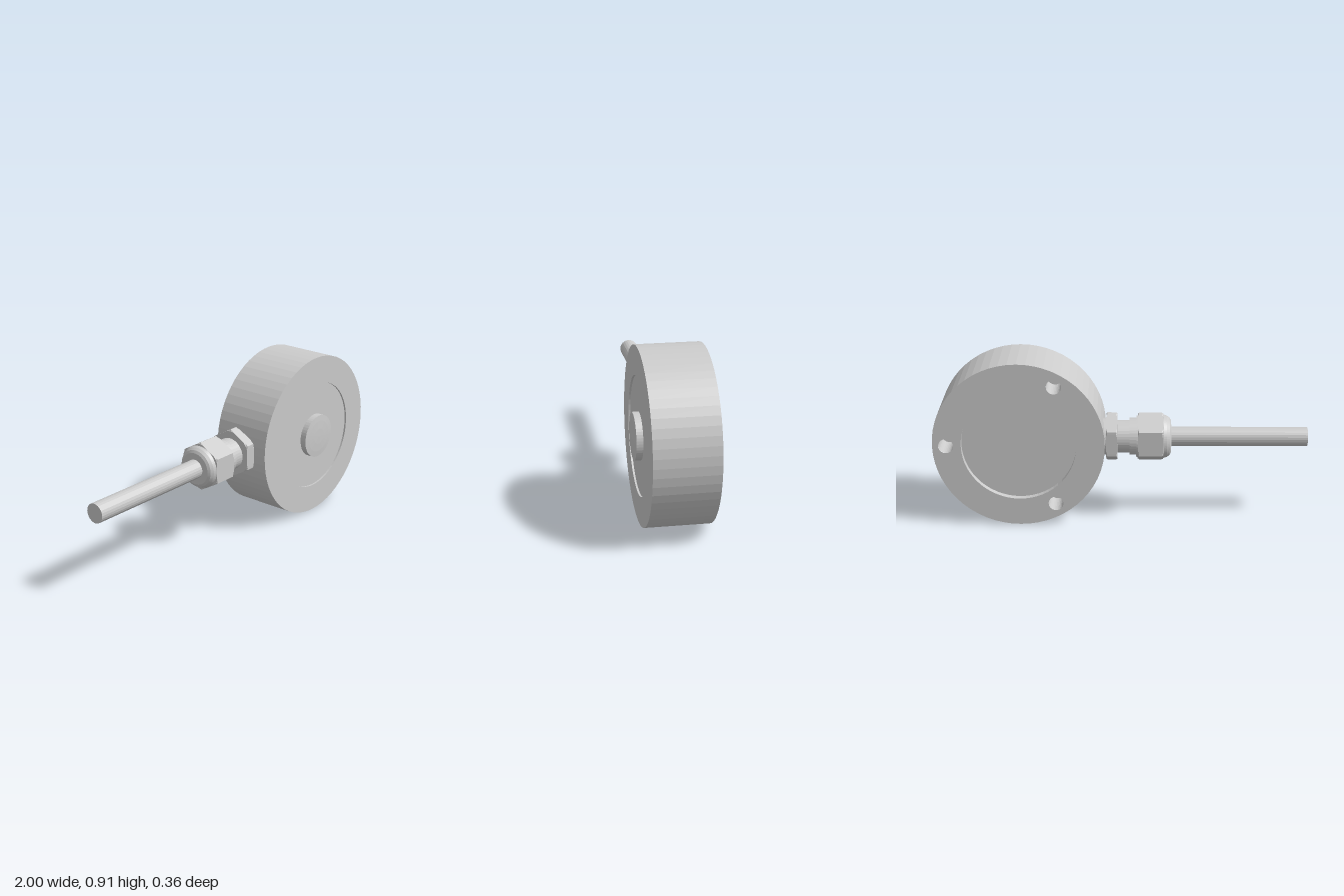
import * as THREE from 'three';

const CX = 0.542, CY = 0.457, R = 0.457;   // disc centre and radius
const BACK = -0.182, FRONT = 0.152;        // disc faces
const AXIS_Z = -0.037;                     // cable axis depth
const RECESS = 0.305, HOLE_RING = 0.385, HOLE_R = 0.04;

export function createModel() {
  const model = new THREE.Group();
  const material = new THREE.MeshStandardMaterial({ color: 0xcccccc, flatShading: true });

  const lathe = (profile, segments) =>
    new THREE.LatheGeometry(profile.map(([r, h]) => new THREE.Vector2(r, h)), segments);

  const add = (parent, name, geometry) => {
    const mesh = new THREE.Mesh(geometry, material);
    mesh.name = name;
    parent.add(mesh);
    return mesh;
  };

  // Disc: everything here is turned about z
  const disc = new THREE.Group();
  disc.name = 'sensorDisc';
  disc.position.set(CX, CY, 0);
  model.add(disc);
  const addTurnedZ = (name, profile, segments = 60) =>
    add(disc, name, lathe(profile, segments).rotateX(Math.PI / 2));

  addTurnedZ('body', [
    [R, BACK], [R, FRONT], [RECESS, FRONT], [RECESS, FRONT - 0.01], [0, FRONT - 0.01],
  ]);
  addTurnedZ('backRecess', [[0, BACK + 0.032], [RECESS, BACK + 0.032], [RECESS, BACK]]);
  addTurnedZ('loadButton', [
    [0.122, FRONT - 0.01], [0.122, 0.176], [0.09, 0.179], [0.045, 0.1813], [0, 0.182],
  ], 48);

  // Back ring pierced by three blind mounting holes
  const circle = (x, y, r) => new THREE.Path().absarc(x, y, r, 0, Math.PI * 2, true);
  const ring = new THREE.Shape().absarc(0, 0, R, 0, Math.PI * 2, false);
  ring.holes.push(circle(0, 0, RECESS));
  for (let i = 0; i < 3; i++) {
    const a = i * Math.PI * 2 / 3;
    const x = Math.cos(a) * HOLE_RING, y = Math.sin(a) * HOLE_RING;
    ring.holes.push(circle(-x, y, HOLE_R)); // mirrored, as the ring is turned to face back
    addTurnedZ('mountingHole', [[0, BACK + 0.15], [HOLE_R, BACK + 0.15], [HOLE_R, BACK]], 30)
      .position.set(x, y, 0);
  }
  add(disc, 'backRing', new THREE.ShapeGeometry(ring, 30).rotateY(Math.PI).translate(0, 0, BACK));

  // Cable gland: everything here is turned about x
  const gland = new THREE.Group();
  gland.name = 'cableGland';
  gland.position.set(0, CY, AXIS_Z);
  model.add(gland);
  const addTurnedX = (name, profile, segments = 36) =>
    add(gland, name, lathe(profile, segments).rotateZ(-Math.PI / 2));

  // Hexagonal part: a turned profile cut back to six flats, leaving rounded chamfers
  const addHex = (name, profile, apothem) => {
    const geometry = lathe(profile, 72);
    const p = geometry.attributes.position;
    const sixth = Math.PI / 3;
    for (let i = 0; i < p.count; i++) {
      const x = p.getX(i), z = p.getZ(i), r = Math.hypot(x, z);
      if (r < apothem) continue;
      const a = Math.atan2(x, z) + Math.PI * 2 + sixth / 2 + 1e-6;
      const limit = apothem / Math.cos((a % sixth) - sixth / 2);
      const k = Math.min(1, limit / r);
      p.setXYZ(i, x * k, p.getY(i), z * k);
    }
    geometry.rotateZ(-Math.PI / 2);
    geometry.computeVertexNormals();
    return add(gland, name, geometry);
  };

  addTurnedX('cable', [[0, -1], [0.052, -1], [0.052, -0.2]], 24);
  addHex('glandCap', [
    [0.04, -0.268], [0.088, -0.268], [0.102, -0.26], [0.112, -0.245], [0.117, -0.228],
    [0.127, -0.226], [0.137, -0.218], [0.137, -0.096], [0.127, -0.09], [0.08, -0.09],
  ], 0.118);
  addTurnedX('collar', [
    [0.09, -0.1], [0.112, -0.1], [0.112, -0.082], [0.1, -0.082], [0.1, -0.045], [0.07, -0.045],
  ]);
  addTurnedX('neck', [[0.088, -0.06], [0.088, 0.03]]);
  addHex('lockNut', [
    [0.07, 0.02], [0.128, 0.02], [0.138, 0.026], [0.138, 0.073], [0.128, 0.079], [0.07, 0.079],
  ], 0.12);
  addTurnedX('boss', [[0.1, 0.07], [0.1, 0.12]]);

  return model;
}
